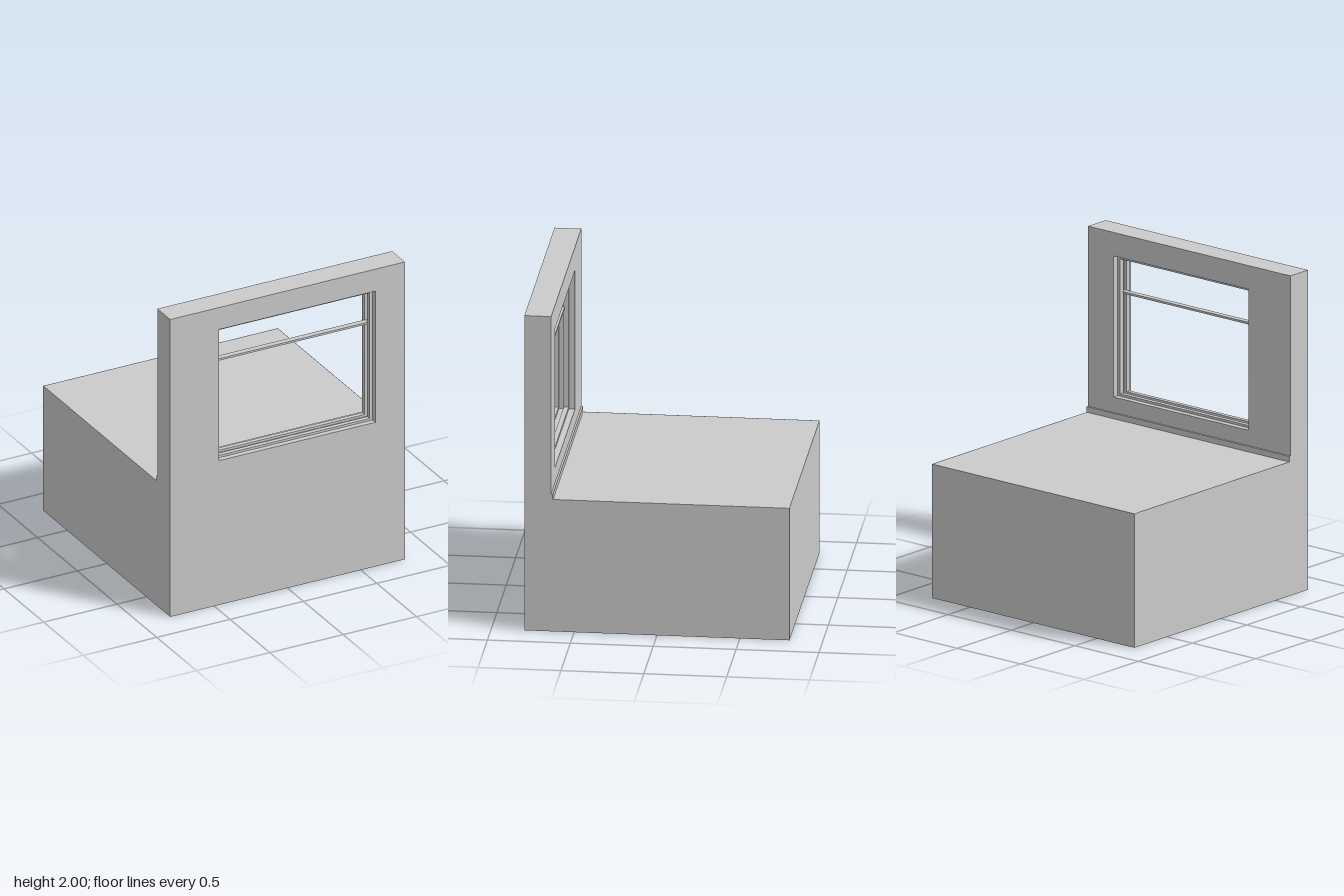
import * as THREE from 'three';

const W = 0.8, FLOOR = 0.838, TOP = 2, INNER = 0.638;       // room shell
const X0 = -0.468, X1 = 0.598, Y0 = 0.97, Y1 = 1.852;       // window opening
const IX0 = -0.453, IX1 = 0.577, IY0 = 0.985, IY1 = 1.829;  // clear opening inside the frame

const rect = (S, a, b, c, d) => {
  const s = new S();
  s.moveTo(a, b).lineTo(c, b).lineTo(c, d).lineTo(a, d).closePath();
  return s;
};

export function createModel() {
  const model = new THREE.Group();
  model.name = 'roomSection';
  const mat = new THREE.MeshStandardMaterial({ color: 0xcccccc, side: THREE.DoubleSide });

  const add = (name, geometry, x = 0, y = 0, z = 0) => {
    const mesh = new THREE.Mesh(geometry, mat);
    mesh.name = name;
    mesh.position.set(x, y, z);
    model.add(mesh);
    return mesh;
  };
  const box = (name, x0, x1, y0, y1, z0, z1) =>
    add(name, new THREE.BoxGeometry(x1 - x0, y1 - y0, z1 - z0), (x0 + x1) / 2, (y0 + y1) / 2, (z0 + z1) / 2);

  // Hollow wall: outer and inner skins, both cut by the window
  const skin = (name, bottom, z, inward) => {
    const s = rect(THREE.Shape, -W, bottom, W, TOP);
    s.holes.push(rect(THREE.Path, X0, Y0, X1, Y1));
    const m = add(name, new THREE.ShapeGeometry(s), 0, 0, z);
    if (inward) {
      // mirror the face so it looks into the room
      m.geometry.rotateY(Math.PI);
      m.geometry.scale(-1, 1, 1);
      const i = m.geometry.index.array;
      for (let k = 0; k < i.length; k += 3) [i[k], i[k + 1]] = [i[k + 1], i[k]];
      m.geometry.computeVertexNormals();
    }
  };
  skin('wallOuterSkin', 0, W, false);
  skin('wallInnerSkin', FLOOR, INNER, true);
  add('wallTop', new THREE.PlaneGeometry(2 * W, W - INNER).rotateX(-Math.PI / 2), 0, TOP, (W + INNER) / 2);

  // L-shaped ends and the back of the base, open underneath
  const profile = new THREE.Shape([
    [-W, 0], [W, 0], [W, FLOOR], [-INNER, FLOOR], [-INNER, TOP], [-W, TOP],
  ].map(([a, b]) => new THREE.Vector2(a, b)));
  add('rightEnd', new THREE.ShapeGeometry(profile.clone()).scale(-1, 1, 1).rotateY(-Math.PI / 2), -W);
  add('leftEnd', new THREE.ShapeGeometry(profile).rotateY(Math.PI / 2), W);
  // the mirrored end needs its winding turned to face outward
  const end = model.getObjectByName('rightEnd').geometry;
  const ei = end.index.array;
  for (let k = 0; k < ei.length; k += 3) [ei[k], ei[k + 1]] = [ei[k + 1], ei[k]];
  end.computeVertexNormals();
  add('baseBack', new THREE.PlaneGeometry(2 * W, FLOOR).rotateY(Math.PI), 0, FLOOR / 2, -W);

  // Floor slab and skirting board
  const e = 0.001;
  box('floorSlab', -W + e, W - e, 0.795, FLOOR, -W + e, INNER);
  box('skirtingBoard', -W, W, FLOOR, 0.873, 0.627, INNER);

  // Window reveal lining the hole through the wall
  const cx = (X0 + X1) / 2, cy = (Y0 + Y1) / 2, cz = (W + INNER) / 2, depth = W - INNER;
  add('revealSill', new THREE.PlaneGeometry(X1 - X0, depth).rotateX(-Math.PI / 2), cx, Y0, cz);
  add('revealHead', new THREE.PlaneGeometry(X1 - X0, depth).rotateX(Math.PI / 2), cx, Y1, cz);
  add('revealRight', new THREE.PlaneGeometry(depth, Y1 - Y0).rotateY(Math.PI / 2), X0, cy, cz);
  add('revealLeft', new THREE.PlaneGeometry(depth, Y1 - Y0).rotateY(-Math.PI / 2), X1, cy, cz);

  // Two slim frame rings with a track between them
  for (const [name, z] of [['outerFrame', 0.735], ['innerFrame', 0.675]]) {
    const s = rect(THREE.Shape, X0, Y0, X1, Y1);
    s.holes.push(rect(THREE.Path, IX0, IY0, IX1, IY1));
    add(name, new THREE.ExtrudeGeometry(s, { depth: 0.03, bevelEnabled: false }), 0, 0, z);
  }

  // Transom across the upper part of the window
  box('transom', X0, X1, 1.607, 1.62, 0.7, 0.738);
  return model;
}
